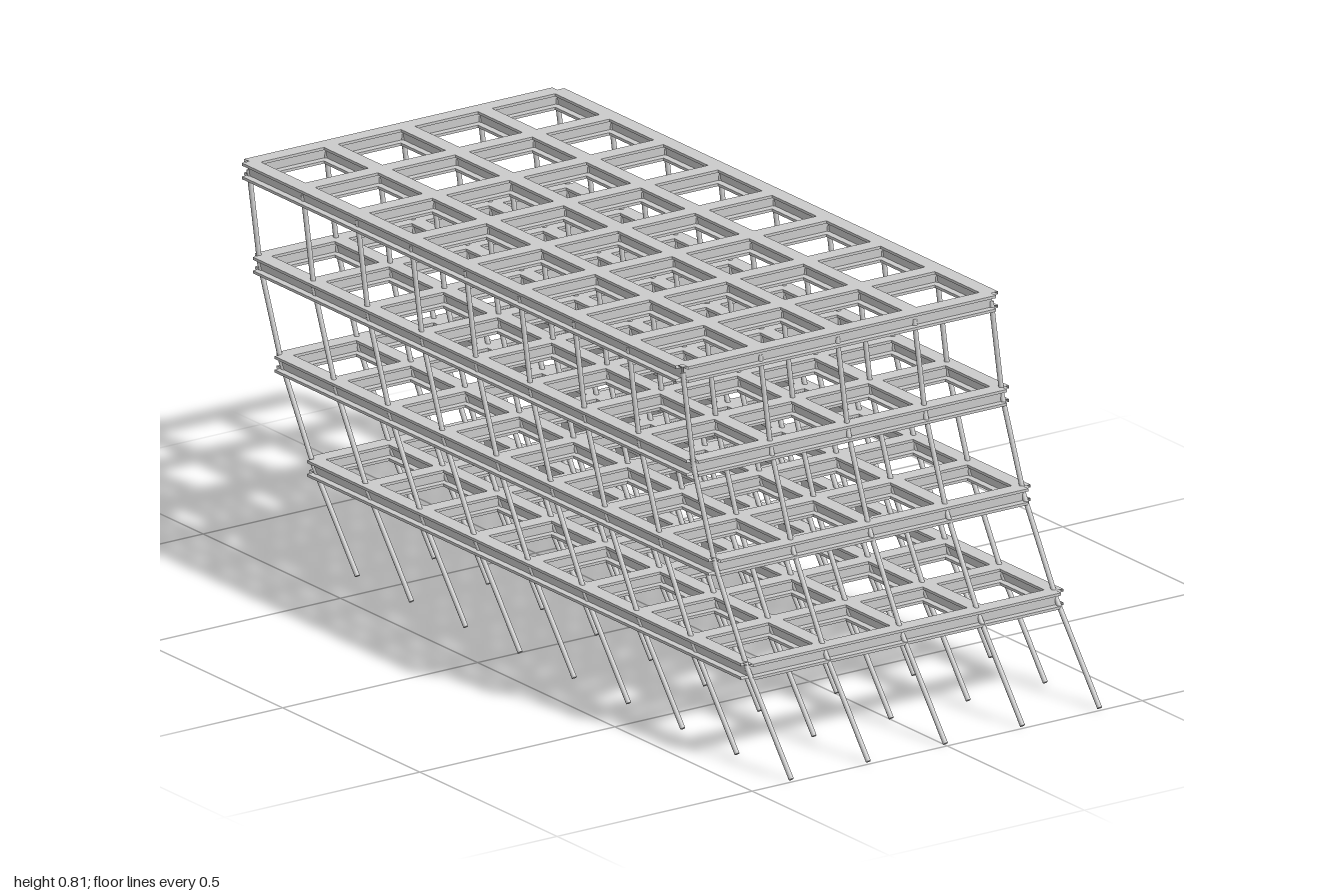
import * as THREE from 'three';

const BAY = 0.1976;            // grid spacing in x, y and z
const BASE = 0.003;            // height of the column foot centres
const BEAM = 0.036, FLANGE = 0.006, WEB = 0.005;
const COLUMN_R = 0.0055;
const COLS = 9, ROWS = 5;
const LEAN = [0, 4, 7, 9, 10]; // sideways shift per level, in fifths of a bay

const material = new THREE.MeshStandardMaterial({ color: 0xcccccc, side: THREE.DoubleSide });

// Node of the leaning frame at column i, level k, row j
function node(i, k, j) {
  return new THREE.Vector3(
    0.994 + (i - (COLS - 1)) * BAY - LEAN[k] * BAY / 5,
    BASE + k * BAY,
    (j - (ROWS - 1) / 2) * BAY
  );
}

// Open-ended I-section running along z, centred on the origin
function iBeam(length) {
  const h = BEAM / 2, f = h - FLANGE, w = WEB / 2;
  const outline = [
    [-h, -h], [h, -h], [h, -f], [w, -f], [w, f], [h, f],
    [h, h], [-h, h], [-h, f], [-w, f], [-w, -f], [-h, -f]
  ].map(([x, y]) => new THREE.Vector2(x, y));
  const solid = new THREE.ExtrudeGeometry(new THREE.Shape(outline), { depth: length, bevelEnabled: false });
  // Keep only the side walls, leaving the ends open
  const walls = solid.groups[1];
  const open = new THREE.BufferGeometry();
  for (const key of ['position', 'normal']) {
    const { array } = solid.attributes[key];
    open.setAttribute(key, new THREE.BufferAttribute(
      array.slice(walls.start * 3, (walls.start + walls.count) * 3), 3));
  }
  return open.translate(0, 0, -length / 2);
}

function add(parent, name, geometry, position) {
  const mesh = new THREE.Mesh(geometry, material);
  mesh.name = name;
  mesh.position.copy(position);
  parent.add(mesh);
  return mesh;
}

export function createModel() {
  const model = new THREE.Group();
  model.name = 'leaningFrame';
  const longBeam = iBeam((COLS - 1) * BAY).rotateY(Math.PI / 2);
  const crossBeam = iBeam((ROWS - 1) * BAY);

  for (let k = 1; k < LEAN.length; k++) {
    // Beam grid of one floor
    const floor = new THREE.Group();
    floor.name = `floor${k}`;
    model.add(floor);
    for (let j = 0; j < ROWS; j++) add(floor, 'longBeam', longBeam, node((COLS - 1) / 2, k, j));
    for (let i = 0; i < COLS; i++) add(floor, 'crossBeam', crossBeam, node(i, k, (ROWS - 1) / 2));

    // Slanted columns of the storey below it
    const storey = new THREE.Group();
    storey.name = `columns${k}`;
    model.add(storey);
    const span = node(0, k, 0).sub(node(0, k - 1, 0));
    const column = new THREE.CylinderGeometry(COLUMN_R, COLUMN_R, span.length(), 10);
    const tilt = new THREE.Quaternion().setFromUnitVectors(
      new THREE.Vector3(0, 1, 0), span.clone().normalize());
    for (let i = 0; i < COLS; i++) {
      for (let j = 0; j < ROWS; j++) {
        const middle = node(i, k, j).addScaledVector(span, -0.5);
        add(storey, 'column', column, middle).quaternion.copy(tilt);
      }
    }
  }
  return model;
}
